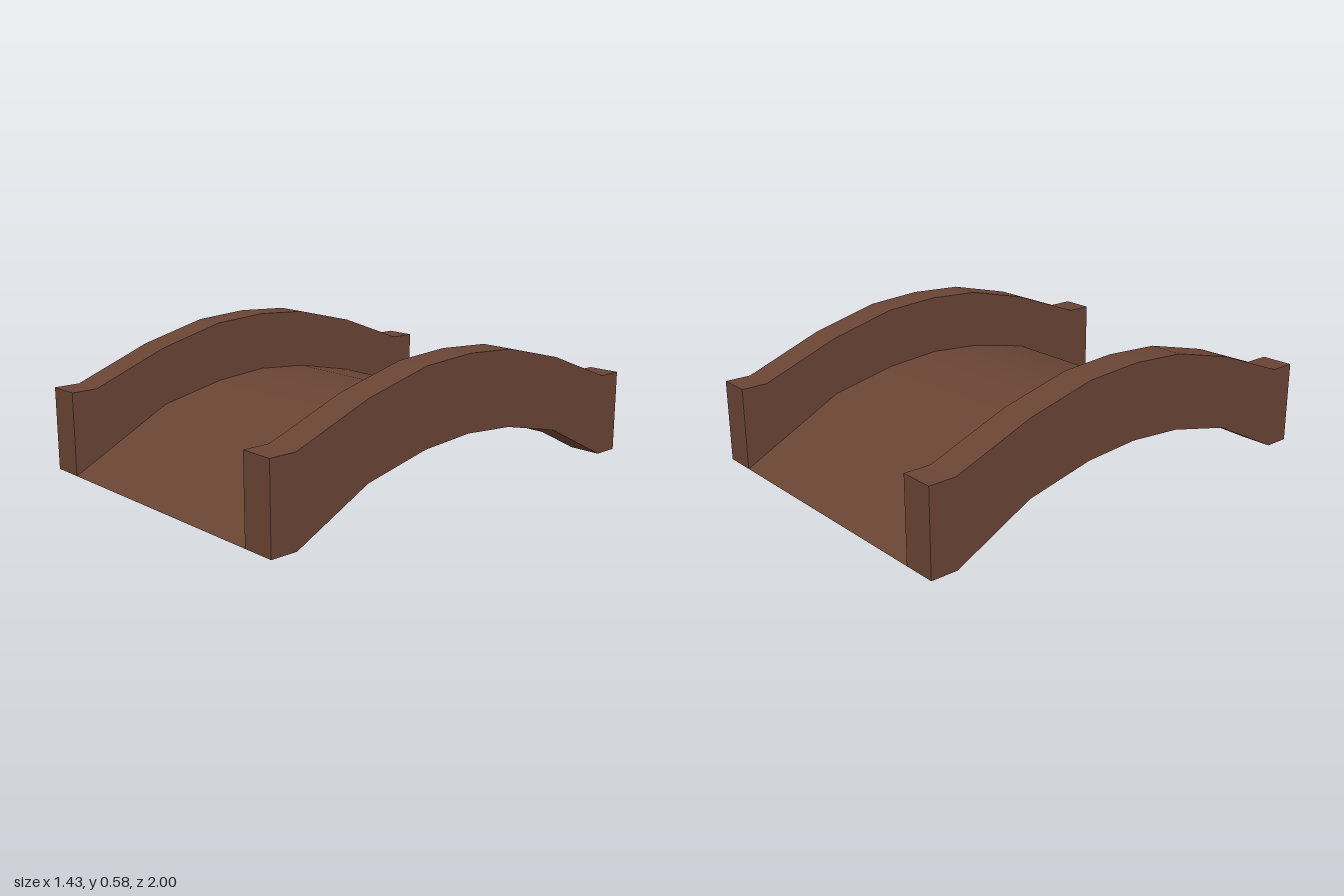
import * as THREE from 'three';
import { toCreasedNormals } from 'three/addons/utils/BufferGeometryUtils.js';

const HALF_WIDTH = 0.715, RAIL_WIDTH = 0.143;

// Mirror a half profile of [z, y] points (centre outwards) into a full arch.
function arch(half) {
  return [...half.slice(1).reverse().map(([z, y]) => [-z, y]), ...half];
}

// Side rail: arched beam with short level feet, extruded across x.
function railGeometry() {
  const top = arch([[0, 0.578], [0.245, 0.563], [0.545, 0.488], [0.885, 0.358], [1, 0.358]]);
  const bottom = arch([[0, 0.258], [0.245, 0.24], [0.545, 0.172], [0.885, 0], [1, 0]]);
  const outline = [...bottom, ...top.reverse()].map(([z, y]) => new THREE.Vector2(z, y));
  const geometry = new THREE.ExtrudeGeometry(new THREE.Shape(outline), {
    depth: RAIL_WIDTH, bevelEnabled: false,
  });
  geometry.translate(0, 0, -RAIL_WIDTH / 2).rotateY(-Math.PI / 2);
  return toCreasedNormals(geometry, 0.6);
}

// Deck: thin curved sheet between the rails.
function deckGeometry() {
  const profile = arch([[0, 0.318], [0.245, 0.298], [0.545, 0.235], [1, 0]]);
  const width = 2 * (HALF_WIDTH - RAIL_WIDTH);
  const geometry = new THREE.PlaneGeometry(width, 2, 1, profile.length - 1).rotateX(-Math.PI / 2);
  const position = geometry.attributes.position;
  for (let i = 0; i < position.count; i++) {
    const [z, y] = profile[Math.floor(i / 2)];
    position.setXYZ(i, position.getX(i), y, z);
  }
  geometry.computeVertexNormals();
  return geometry;
}

export function createModel() {
  const group = new THREE.Group();
  group.name = 'archedBridge';
  const wood = new THREE.MeshStandardMaterial({ color: 0x694434, side: THREE.DoubleSide });
  wood.name = 'brownWood';

  const deck = new THREE.Mesh(deckGeometry(), wood);
  deck.name = 'deck';
  group.add(deck);

  const railShape = railGeometry();
  for (const [name, side] of [['leftRail', 1], ['rightRail', -1]]) {
    const rail = new THREE.Mesh(railShape, wood);
    rail.name = name;
    rail.position.x = side * (HALF_WIDTH - RAIL_WIDTH / 2);
    group.add(rail);
  }
  return group;
}
